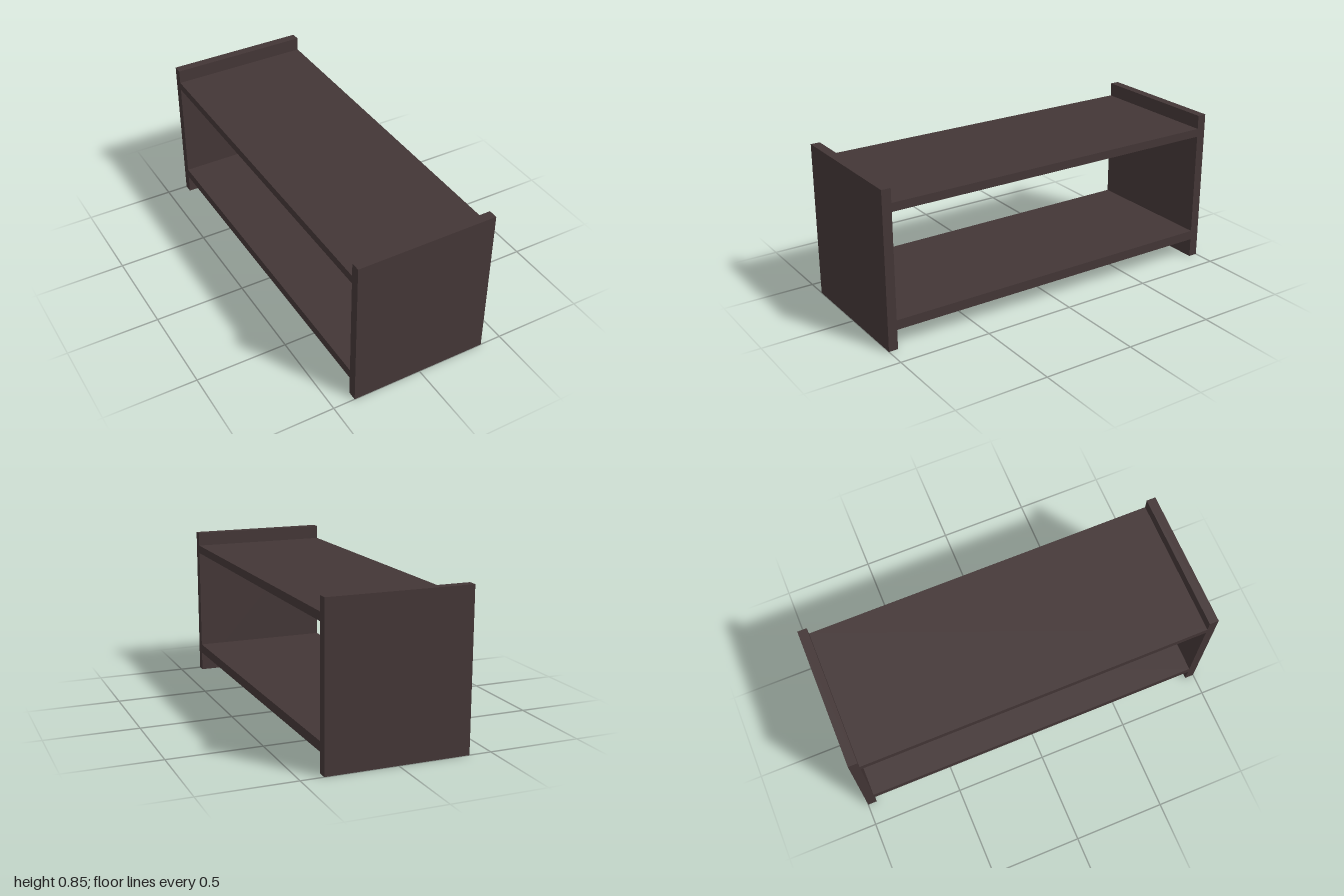
import * as THREE from 'three';

export function createModel() {
  const group = new THREE.Group();
  const darkWood = new THREE.MeshStandardMaterial({ color: 0x433636 });
  darkWood.name = 'dark wood';

  const width = 0.762, height = 0.845, length = 2, panel = 0.05;

  // Adds a full-width board spanning y0..y1, centred on z
  function board(name, y0, y1, depth, z) {
    const mesh = new THREE.Mesh(new THREE.BoxGeometry(width, y1 - y0, depth), darkWood);
    mesh.name = name;
    mesh.position.set(0, (y0 + y1) / 2, z);
    group.add(mesh);
  }

  // Upright end panels
  const endZ = (length - panel) / 2;
  board('frontPanel', 0, height, panel, endZ);
  board('backPanel', 0, height, panel, -endZ);

  // Shelves between the panels
  const span = length - 2 * panel;
  board('topShelf', 0.725, 0.77, span, 0);
  board('bottomShelf', 0.106, 0.158, span, 0);

  return group;
}
